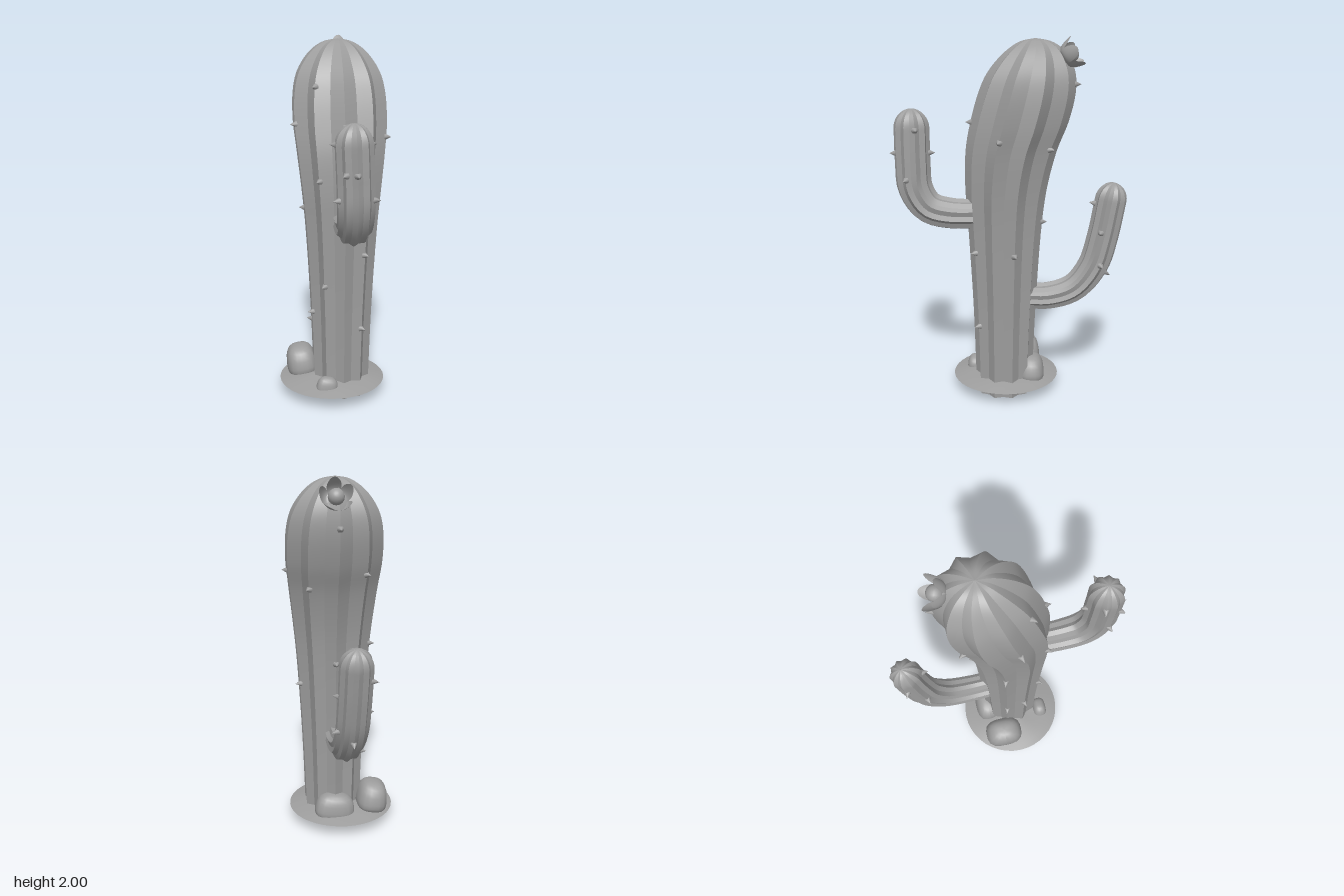
import * as THREE from 'three';

const V = (x, y, z) => new THREE.Vector3(x, y, z);
const RIBS = 10, VALLEY = 0.86;

// Offset direction of angle a around a section whose axis t lies in the yz plane
const around = (t, a) => V(Math.sin(a), -t.z * Math.cos(a), t.y * Math.cos(a));

// Skin a list of sections {p, r, t} with a star outline; each facet is creased from the next
function ribbed(rows) {
  const pos = [], index = [], sides = RIBS * 2;
  for (let s = 0; s < sides; s++) {
    const base = pos.length / 3;
    rows.forEach(({ p, r, t }, i) => {
      for (const j of [s, s + 1]) {
        const v = around(t, j * Math.PI / RIBS).multiplyScalar(j % 2 ? r * VALLEY : r).add(p);
        pos.push(v.x, v.y, v.z);
      }
      if (i) {
        const b = base + i * 2;
        index.push(b - 2, b - 1, b + 1, b - 2, b + 1, b);
      }
    });
  }
  const g = new THREE.BufferGeometry();
  g.setAttribute('position', new THREE.Float32BufferAttribute(pos, 3));
  g.setIndex(index);
  g.computeVertexNormals();
  return g;
}

// Trunk sections from [height, front z, back z]
function trunkRows() {
  const profile = [
    [0, 0.2, -0.12], [0.5, 0.214, -0.138], [1, 0.24, -0.17], [1.2, 0.252, -0.197],
    [1.4, 0.247, -0.247], [1.55, 0.22, -0.305], [1.7, 0.178, -0.34], [1.8, 0.135, -0.34],
    [1.88, 0.075, -0.312], [1.94, 0.01, -0.265], [1.975, -0.05, -0.205], [1.99, -0.125, -0.127],
  ];
  const curve = new THREE.CatmullRomCurve3(profile.map(q => V(...q)));
  return curve.getPoints(66).map(q => ({ p: V(0.048, q.x, (q.y + q.z) / 2), r: (q.y - q.z) / 2, t: V(0, 1, 0) }));
}

// Arm sections along a path, closed with a round tip
function armRows(points, r0, r1) {
  const curve = new THREE.CatmullRomCurve3(points.map(q => V(...q)));
  const rows = [];
  const flat = t => V(0, t.y, t.z).normalize();
  for (let i = 0; i <= 24; i++) {
    const u = i / 24;
    rows.push({ p: curve.getPointAt(u), r: r0 + (r1 - r0) * Math.min(1, u * 1.6), t: flat(curve.getTangentAt(u)) });
  }
  const end = rows[24];
  for (let i = 1; i <= 8; i++) {
    const a = i / 8 * Math.PI / 2;
    rows.push({ p: end.p.clone().addScaledVector(end.t, r1 * 1.1 * Math.sin(a)), r: Math.max(0.001, r1 * Math.cos(a)), t: end.t });
  }
  return rows;
}

export function createModel() {
  const model = new THREE.Group();
  const grey = new THREE.MeshStandardMaterial({ color: 0x9e9e9e, side: THREE.DoubleSide });
  grey.name = 'plain grey';

  const add = (name, geometry, parent = model) => {
    const m = new THREE.Mesh(geometry, grey);
    m.name = name;
    parent.add(m);
    return m;
  };

  // Small thorn standing on rib k of a section
  const spikeGeo = new THREE.ConeGeometry(0.018, 0.036, 10).translate(0, 0.01, 0);
  const spikes = new THREE.Group();
  spikes.name = 'spikes';
  model.add(spikes);
  const spike = ({ p, r, t }, k) => {
    const dir = around(t, k * 2 * Math.PI / RIBS);
    const m = add('spike', spikeGeo, spikes);
    m.position.copy(p).addScaledVector(dir, r);
    m.quaternion.setFromUnitVectors(V(0, 1, 0), dir);
  };

  // Trunk, open underneath
  const trunk = trunkRows();
  add('trunk', ribbed(trunk));
  const trunkSpikes = [
    [1.75, -1], [1.26, -1], [0.7, -1], [0.85, 1], [0.38, 1], [1.55, 0], [1.55, -2], [1.06, -3],
    [0.51, -2], [1.47, 2], [0.87, 3], [1.43, 4], [0.97, 5], [1.76, 5], [1.5, -4], [0.43, -3],
  ];
  for (const [y, k] of trunkSpikes) {
    spike(trunk.reduce((a, b) => Math.abs(b.p.y - y) < Math.abs(a.p.y - y) ? b : a), k);
  }

  // Arms
  const arms = [
    ['frontArm', [[0.065, 1.05, 0.12], [0.065, 1.05, 0.34], [0.065, 1.085, 0.455], [0.063, 1.19, 0.523], [0.058, 1.34, 0.535], [0.05, 1.515, 0.537]], 0.08, 0.097,
      [[0.62, 0], [0.62, 5], [0.74, -3], [0.74, 3], [0.62, -1], [0.5, 2], [0.5, -2]]],
    ['backArm', [[0.03, 0.56, -0.06], [0.025, 0.56, -0.22], [0.015, 0.61, -0.36], [0.005, 0.74, -0.462], [0, 0.9, -0.51], [-0.004, 1.115, -0.55]], 0.075, 0.088,
      [[0.72, 0], [0.6, 2], [0.45, 3], [0.42, 5], [0.68, -3], [0.5, -2]]],
  ];
  for (const [name, path, r0, r1, thorns] of arms) {
    const rows = armRows(path, r0, r1);
    add(name, ribbed(rows));
    for (const [u, k] of thorns) spike(rows[Math.round(u * (rows.length - 1))], k);
  }

  // Flower: ball heart in a cup of rounded petals, tilted backwards
  const flower = new THREE.Group();
  flower.name = 'flower';
  flower.position.set(0.065, 1.885, -0.272);
  flower.quaternion.setFromUnitVectors(V(0, 1, 0), V(0, 0.5, -0.87).normalize());
  model.add(flower);
  add('flowerHeart', new THREE.SphereGeometry(0.042, 16, 12), flower).position.y = 0.045;
  for (let k = 0; k < 5; k++) {
    const g = new THREE.PlaneGeometry(2, 1, 8, 8);
    const p = g.attributes.position;
    for (let i = 0; i < p.count; i++) {
      const u = p.getX(i), v = p.getY(i) + 0.5;
      const tip = v * (1 - 0.25 * u * u);
      const a = k * Math.PI * 0.4 + u * 0.72 * (1 - 0.3 * v * v) + 0.1;
      const r = 0.012 + 0.072 * Math.sqrt(tip) + 0.004 * (k % 2);
      p.setXYZ(i, r * Math.sin(a), 0.09 * tip * tip, r * Math.cos(a));
    }
    g.computeVertexNormals();
    add('petal', g, flower);
  }

  // Sloping, slightly wavy patch of ground
  const patch = new THREE.RingGeometry(0.02, 0.3, 40, 6).rotateX(-Math.PI / 2);
  const pp = patch.attributes.position;
  for (let i = 0; i < pp.count; i++) {
    const x = pp.getX(i), z = pp.getZ(i), r = Math.hypot(x, z), a = Math.atan2(z, x);
    pp.setY(i, 0.115 - 0.04 * (r / 0.3) ** 2 + 0.006 * Math.sin(a * 5) * r / 0.3 * (1 - r / 0.32));
  }
  patch.computeVertexNormals();
  add('groundPatch', patch).position.set(-0.002, 0, 0.032);

  // Rounded stones
  const stones = [
    ['sideStone', [-0.175, 0.15, -0.05], [0.085, 0.09, 0.11], 0.15],
    ['frontStone', [-0.048, 0.1, 0.215], [0.058, 0.05, 0.042], -0.15],
    ['backStone', [0.05, 0.125, -0.115], [0.11, 0.078, 0.072], 0.1],
  ];
  for (const [name, at, size, tilt] of stones) {
    const g = new THREE.SphereGeometry(1, 20, 14);
    const p = g.attributes.position;
    for (let i = 0; i < p.count; i++) {
      const v = V(p.getX(i), p.getY(i), p.getZ(i));
      const n = (Math.abs(v.x) ** 3 + Math.abs(v.y) ** 3 + Math.abs(v.z) ** 3) ** (1 / 3);
      v.divideScalar(n);
      p.setXYZ(i, v.x * (1 - 0.12 * v.y), v.y, v.z * (1 - 0.15 * v.y));
    }
    g.scale(...size).computeVertexNormals();
    const m = add(name, g);
    m.position.set(...at);
    m.rotation.z = tilt;
  }

  return model;
}
